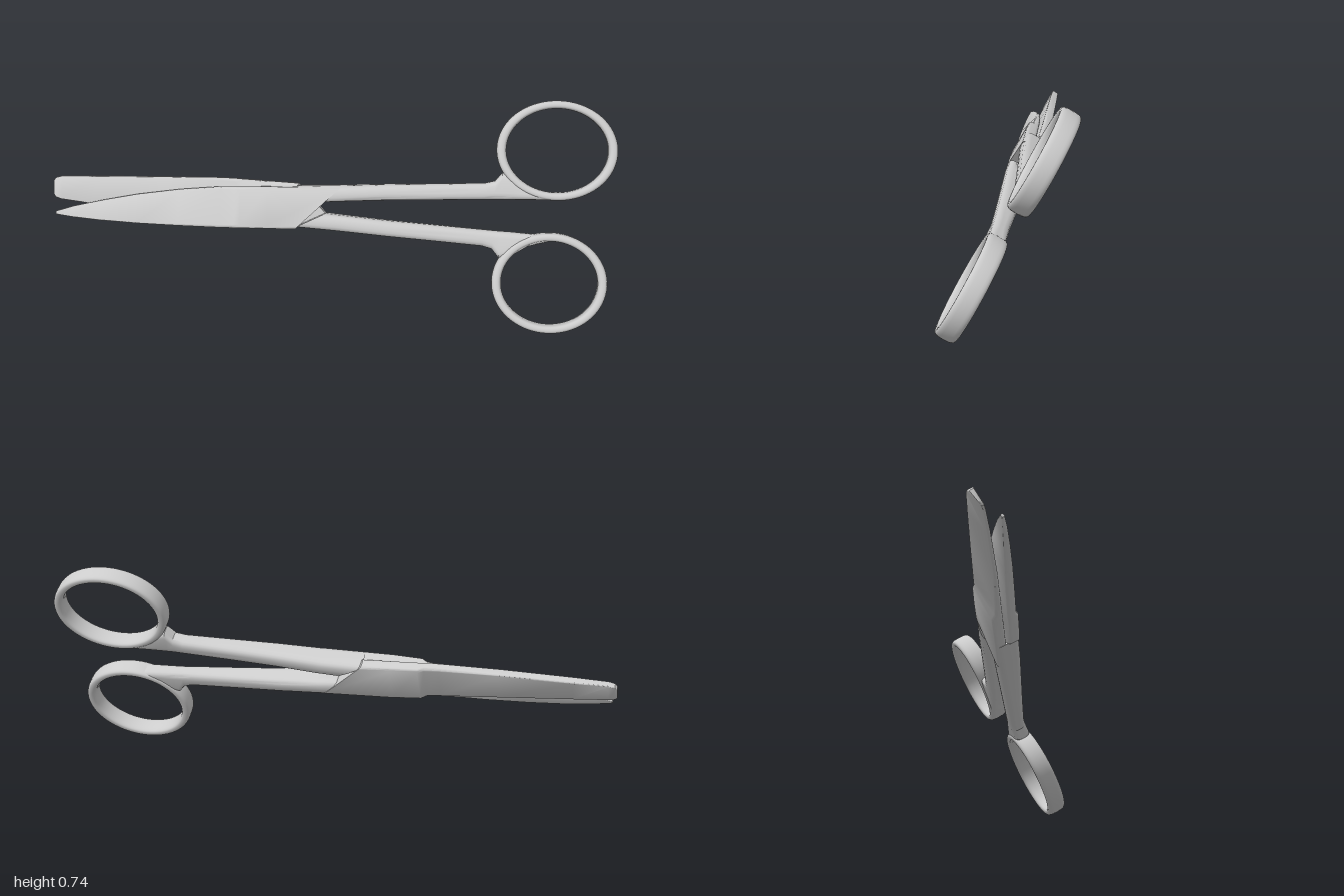
import * as THREE from 'three';
import { toCreasedNormals } from 'three/addons/utils/BufferGeometryUtils.js';

const material = new THREE.MeshStandardMaterial({ color: 0xcccccc });

function addMesh(parent, name, geometry) {
  const mesh = new THREE.Mesh(geometry, material);
  mesh.name = name;
  parent.add(mesh);
  return mesh;
}

// Loft along x through rounded four-corner sections.
// Station: [x, y0, y1, zInner, zOuterAtY0, zOuterAtY1, skew]; skew slants the section in x across its height.
function loft(stations, round, arc = 4) {
  const positions = [], index = [];
  const n = 4 * (arc + 1);
  for (const [x, y0, y1, zi, za, zb, skew = 0] of stations) {
    const corners = [[y0, zi], [y1, zi], [y1, zb], [y0, za]].map(c => new THREE.Vector2(...c));
    const thickness = Math.min(y1 - y0, za - zi, zb - zi);
    const r = Math.min(round, thickness * 0.45);
    corners.forEach((c, k) => {
      const toPrev = corners[(k + 3) % 4].clone().sub(c).setLength(r);
      const toNext = corners[(k + 1) % 4].clone().sub(c).setLength(r);
      const curve = new THREE.QuadraticBezierCurve(c.clone().add(toPrev), c, c.clone().add(toNext));
      for (const p of curve.getPoints(arc)) {
        positions.push(x + skew * (p.x - y0) / (y1 - y0), p.x, p.y);
      }
    });
  }
  const last = (stations.length - 1) * n;
  for (let i = 0; i < last; i += n) {
    for (let j = 0; j < n; j++) {
      const k = (j + 1) % n;
      index.push(i + j, i + k, i + n + j, i + k, i + n + k, i + n + j);
    }
  }
  // End caps
  for (let j = 1; j < n - 1; j++) {
    index.push(0, j + 1, j, last, last + j, last + j + 1);
  }
  const geometry = new THREE.BufferGeometry();
  geometry.setAttribute('position', new THREE.Float32BufferAttribute(positions, 3));
  geometry.setIndex(index);
  return toCreasedNormals(geometry, 0.6);
}

// Oval finger ring with a softly squared band section
function ringGeometry(rx, ry) {
  const points = [];
  const soft = (v, p) => Math.sign(v) * Math.abs(v) ** p;
  for (let i = 0; i <= 24; i++) {
    const a = -Math.PI + i / 24 * Math.PI * 2;
    points.push(new THREE.Vector2(rx - 0.017 + 0.017 * soft(Math.cos(a), 0.7), 0.035 * soft(Math.sin(a), 0.6)));
  }
  return new THREE.LatheGeometry(points, 72).rotateX(Math.PI / 2).scale(1, ry / rx, 1);
}

// One half: a handle on the upper side whose blade crosses below on the outer layer
function makeHalf(name, tip, ring) {
  const half = new THREE.Group();
  half.name = name;

  // Blade, shoulder step and pivot plate with a slanted end
  addMesh(half, 'blade', loft([
    ...tip,
    [-0.39, -0.088, 0.058, 0.002, 0.037, 0.026],
    [-0.34, -0.087, 0.060, 0.002, 0.038, 0.030],
    [-0.32, -0.086, 0.061, 0.002, 0.045, 0.044],
    [-0.22, -0.083, 0.066, 0.002, 0.047, 0.047],
    [-0.12, -0.080, 0.073, 0.002, 0.047, 0.047, 0.155],
  ], 0.012));

  // Handle bar, full thickness, flaring into the ring
  addMesh(half, 'handle', loft([
    [-0.015, 0.020, 0.073, -0.050, 0.045, 0.045, -0.105],
    [0.06, 0.026, 0.080, -0.049, 0.045, 0.045, -0.04],
    [0.20, 0.036, 0.092, -0.042, 0.041, 0.041],
    [0.40, 0.046, 0.103, -0.035, 0.035, 0.035],
    [0.54, 0.053, 0.111, -0.031, 0.031, 0.031],
    [0.575, 0.055, 0.120, -0.030, 0.030, 0.030],
    [0.60, 0.056, 0.150, -0.030, 0.030, 0.030],
    [0.64, 0.057, 0.145, -0.030, 0.030, 0.030],
    [0.70, 0.060, 0.105, -0.030, 0.030, 0.030],
    [0.77, 0.064, 0.084, -0.030, 0.030, 0.030],
  ], 0.024));

  addMesh(half, 'fingerRing', ringGeometry(ring.rx, ring.ry)).position.set(ring.x, ring.y, 0);
  return half;
}

export function createModel() {
  const model = new THREE.Group();
  model.name = 'scissors';

  const body = new THREE.Group();
  body.name = 'tiltedBody';

  // Sharp-pointed half in front
  body.add(makeHalf('sharpHalf', [
    [-0.98, -0.068, -0.056, 0.017, 0.028, 0.026],
    [-0.92, -0.075, -0.036, 0.013, 0.031, 0.022],
    [-0.82, -0.082, -0.011, 0.008, 0.033, 0.018],
    [-0.69, -0.086, 0.017, 0.004, 0.035, 0.017],
    [-0.54, -0.088, 0.041, 0.002, 0.036, 0.020],
  ], { x: 0.786, y: 0.236, rx: 0.211, ry: 0.175 }));

  // Blunt half, turned over behind it
  const blunt = makeHalf('bluntHalf', [
    [-1.0, -0.052, -0.002, 0.012, 0.028, 0.022],
    [-0.992, -0.062, 0.010, 0.009, 0.033, 0.020],
    [-0.97, -0.068, 0.016, 0.008, 0.034, 0.018],
    [-0.85, -0.073, 0.028, 0.005, 0.035, 0.017],
    [-0.60, -0.082, 0.048, 0.002, 0.036, 0.018],
  ], { x: 0.782, y: 0.231, rx: 0.203, ry: 0.178 });
  blunt.rotation.x = Math.PI;
  body.add(blunt);

  body.rotation.x = -0.506;
  body.position.set(0, 0.379, 0.003);
  model.add(body);
  return model;
}
